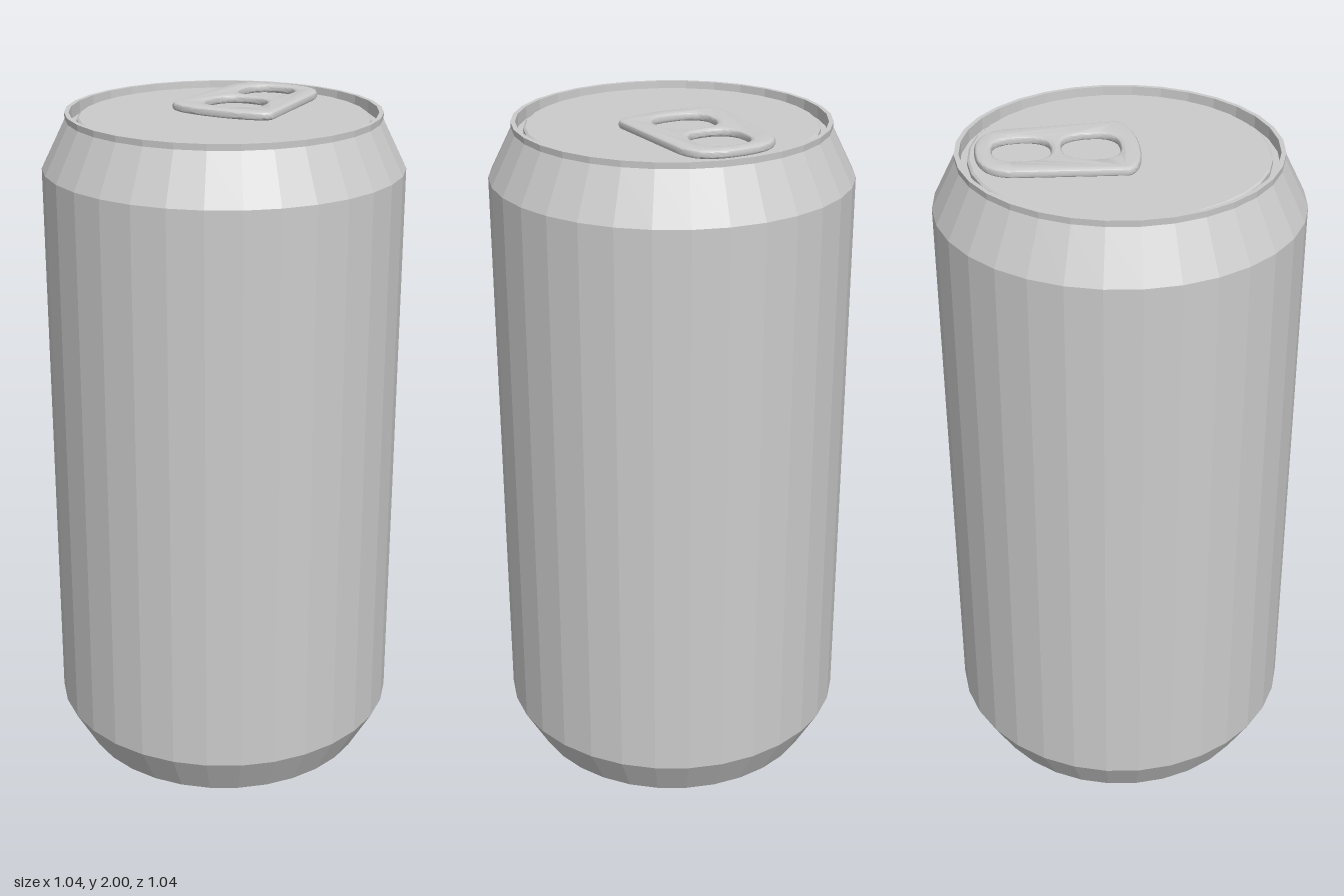
import * as THREE from 'three';
import { toCreasedNormals } from 'three/addons/utils/BufferGeometryUtils.js';

const SIDES = 32;
const LID_Y = 1.975;

const facetedMaterial = () => new THREE.MeshStandardMaterial({ color: 0xcccccc, flatShading: true, side: THREE.DoubleSide });
const smoothMaterial = () => new THREE.MeshStandardMaterial({ color: 0xcccccc });

// Faceted surface of revolution from [radius, height] pairs
function lathe(name, profile) {
  const points = profile.map(([r, y]) => new THREE.Vector2(r, y));
  const mesh = new THREE.Mesh(new THREE.LatheGeometry(points, SIDES), facetedMaterial());
  mesh.name = name;
  return mesh;
}

// Rounded-square hole, narrowing towards its far end by the taper
function tabHole(cy, a, b, taper) {
  const points = [];
  for (let i = 0; i < 48; i++) {
    const t = (i / 48) * Math.PI * 2;
    const c = Math.cos(t), s = Math.sin(t);
    const u = Math.sign(c) * Math.abs(c) ** 0.8;
    const v = Math.sign(s) * Math.abs(s) ** 0.8;
    points.push(new THREE.Vector2(u * a * (1 - taper * v), cy + v * b));
  }
  return new THREE.Path(points);
}

// Pull tab with two finger holes and rolled edges
function createPullTab() {
  const shape = new THREE.Shape();
  shape.moveTo(0, -0.055);
  shape.bezierCurveTo(0.08, -0.055, 0.168, -0.04, 0.163, 0);
  shape.lineTo(0.146, 0.29);
  shape.bezierCurveTo(0.14, 0.36, 0.1, 0.398, 0, 0.398);
  shape.bezierCurveTo(-0.1, 0.398, -0.14, 0.36, -0.146, 0.29);
  shape.lineTo(-0.163, 0);
  shape.bezierCurveTo(-0.168, -0.04, -0.08, -0.055, 0, -0.055);
  shape.holes.push(tabHole(0.27, 0.077, 0.08, 0), tabHole(0.08, 0.085, 0.08, 0.06));

  const roll = 0.014, half = 0.011;
  const geometry = new THREE.ExtrudeGeometry(shape, {
    depth: 2 - LID_Y - 2 * half,
    bevelThickness: half,
    bevelSize: roll,
    bevelOffset: -roll,
    bevelSegments: 5,
    curveSegments: 16,
  });
  geometry.rotateX(-Math.PI / 2);
  const tab = new THREE.Mesh(toCreasedNormals(geometry, Math.PI / 4), smoothMaterial());
  tab.name = 'pullTab';
  tab.position.y = LID_Y + half;
  return tab;
}

export function createModel() {
  const can = new THREE.Group();
  can.name = 'drinkCan';

  // Recessed base
  can.add(lathe('base', [[0, 0.057], [0.22, 0.057], [0.435, 0.004], [0.44, 0]]));

  // Straight wall with tapered foot and shoulder
  can.add(lathe('body', [[0.44, 0], [0.45, 0.004], [0.522, 0.133], [0.522, 1.832], [0.452, 1.972]]));

  // Upright rim and the groove inside it
  can.add(lathe('rim', [[0.452, 1.972], [0.453, 1.99], [0.44, 1.99], [0.439, 1.955], [0.418, 1.955]]));

  // Lid panel with a small bevelled edge
  can.add(lathe('lid', [[0.418, 1.955], [0.418, LID_Y - 0.005], [0.412, LID_Y], [0, LID_Y]]));

  can.add(createPullTab());
  return can;
}
